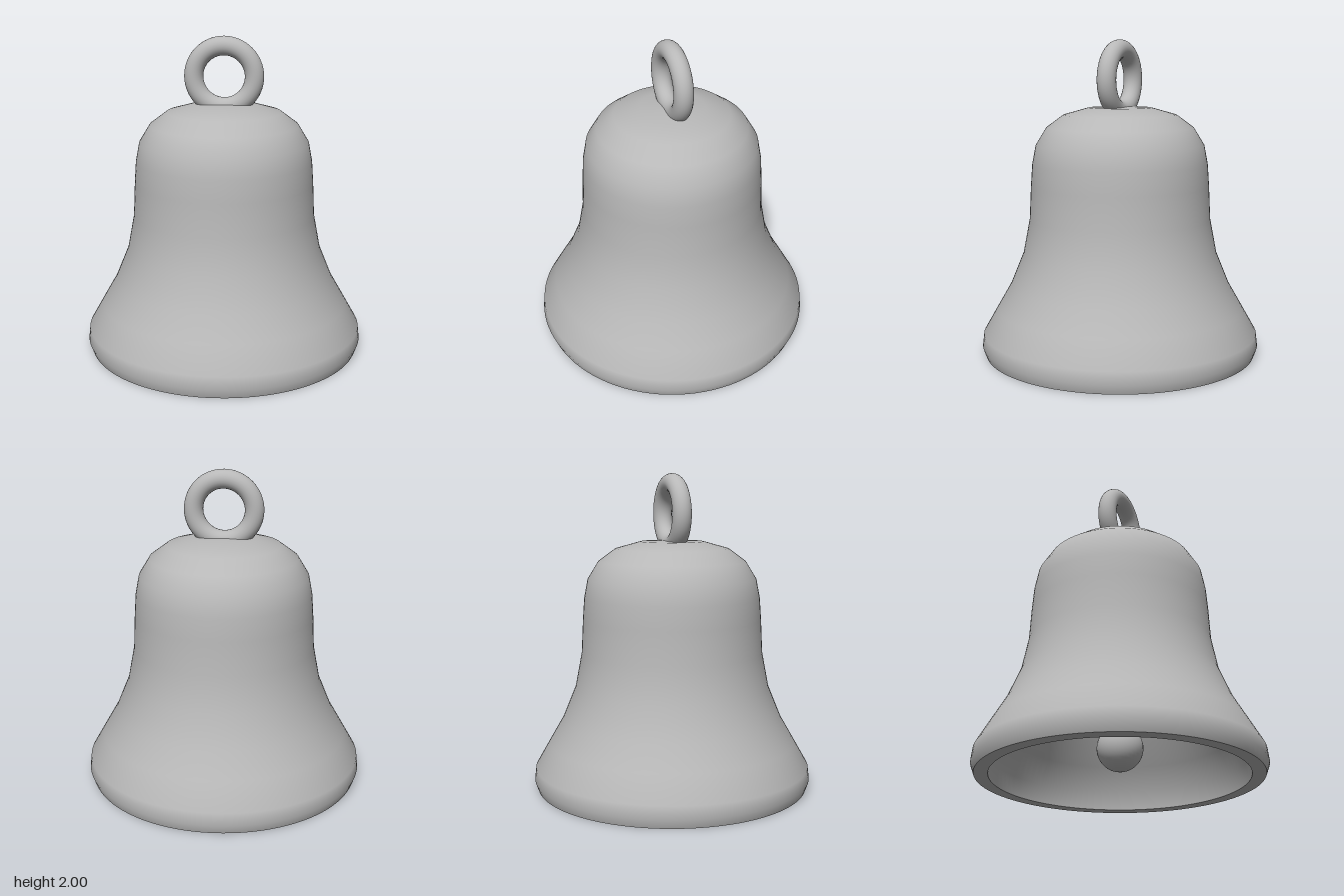
import * as THREE from 'three';

const metal = new THREE.MeshStandardMaterial({ color: 0xb8b8b8 });
metal.name = 'grey metal';

// Wall profiles as [radius, height]: outside runs upward, inside downward
const OUTER = [
  [0.868, 0], [0.889, 0.058], [0.88, 0.137], [0.79, 0.295], [0.704, 0.445],
  [0.62, 0.65], [0.578, 0.87], [0.568, 1.08], [0.558, 1.22], [0.535, 1.34],
  [0.468, 1.45], [0.36, 1.53], [0.2, 1.575], [0, 1.583],
];
const INNER = [
  [0, 1.5], [0.19, 1.49], [0.32, 1.45], [0.41, 1.39], [0.46, 1.31], [0.48, 1.21],
  [0.49, 1.08], [0.5, 0.86], [0.54, 0.63], [0.625, 0.42], [0.705, 0.27], [0.775, 0.12], [0.783, 0],
];
const RIM = [[0.783, 0], [0.868, 0]];

function part(name, geometry, y = 0) {
  const mesh = new THREE.Mesh(geometry, metal);
  mesh.name = name;
  mesh.position.y = y;
  return mesh;
}

function lathe(name, profile) {
  const points = profile.map(([r, y]) => new THREE.Vector2(r, y));
  return part(name, new THREE.LatheGeometry(points, 96));
}

export function createModel() {
  const bell = new THREE.Group();
  bell.name = 'bell';

  // Hollow body with a flat, sharp-edged rim
  const body = new THREE.Group();
  body.name = 'body';
  body.add(lathe('outerWall', OUTER), lathe('rim', RIM), lathe('innerWall', INNER));

  // Hanging ring sunk into the crown
  const ring = part('hangingRing', new THREE.TorusGeometry(0.19, 0.06, 24, 64), 1.75);

  // Clapper: thin rod from the crown down to a ball
  const clapper = new THREE.Group();
  clapper.name = 'clapper';
  const rodBottom = 0.2, rodTop = 1.53;
  clapper.add(
    part('clapperRod', new THREE.CylinderGeometry(0.025, 0.025, rodTop - rodBottom, 24), (rodTop + rodBottom) / 2),
    part('clapperBall', new THREE.SphereGeometry(0.142, 32, 24), 0.183),
  );

  bell.add(body, ring, clapper);
  return bell;
}
